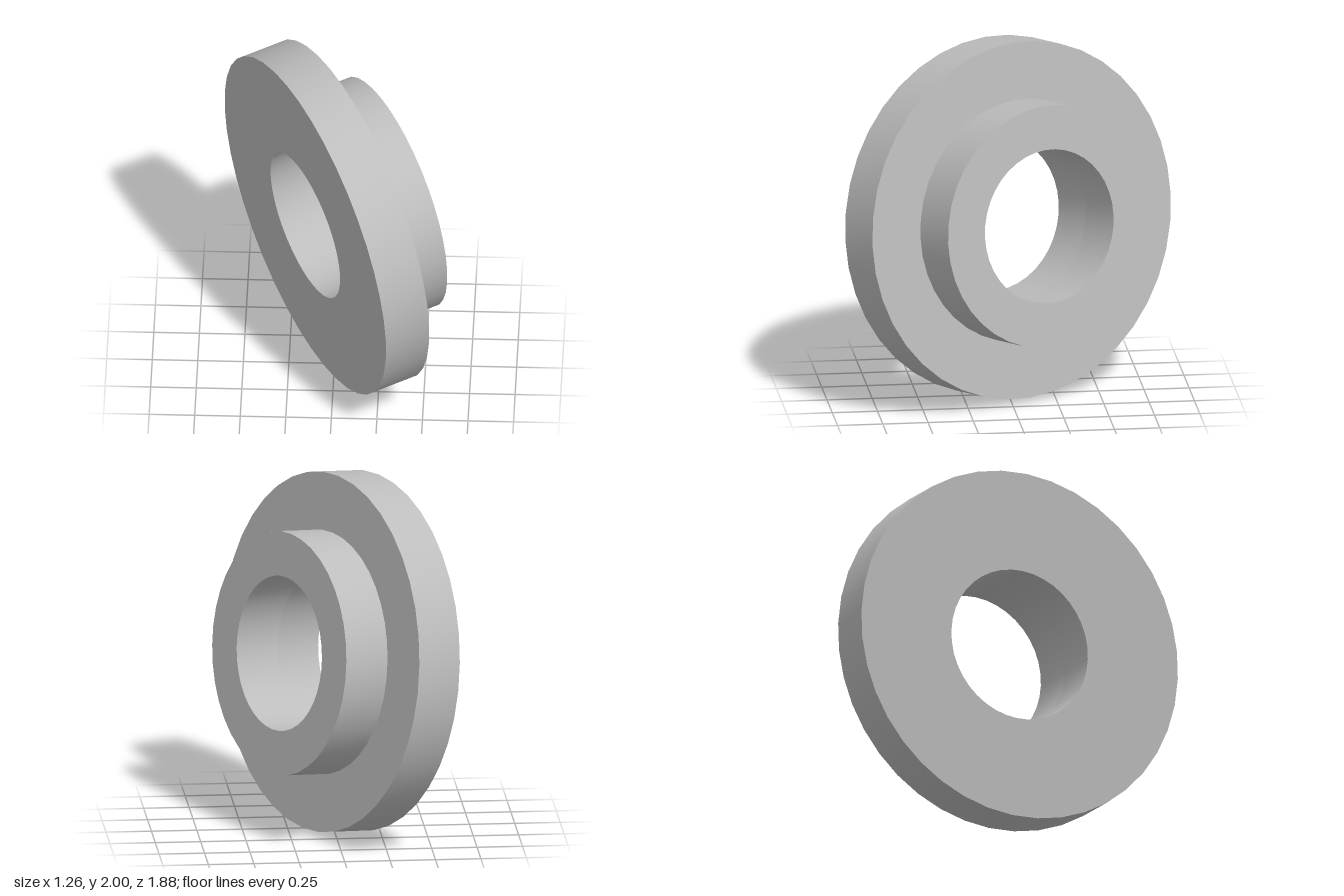
import * as THREE from 'three';
import { toCreasedNormals } from 'three/addons/utils/BufferGeometryUtils.js';

const SIDES = 40;
const BORE = 0.427, HUB_RADIUS = 0.672, FLANGE_RADIUS = 0.991;
const FLANGE_DEPTH = 0.265, TOTAL_DEPTH = 0.535;

// Revolve a profile of [radius, height] pairs, keeping the rims sharp
function revolve(name, profile, material) {
  const points = profile.map(([r, y]) => new THREE.Vector2(r, y));
  const geometry = toCreasedNormals(new THREE.LatheGeometry(points, SIDES), 0.6);
  const mesh = new THREE.Mesh(geometry, material);
  mesh.name = name;
  return mesh;
}

export function createModel() {
  const steel = new THREE.MeshStandardMaterial({ color: 0xbdbdbd });
  steel.name = 'plain grey';

  const model = new THREE.Group();
  model.name = 'flangedBushing';

  // Wide disc with the first half of the bore
  model.add(revolve('flange', [
    [BORE, FLANGE_DEPTH], [BORE, 0], [FLANGE_RADIUS, 0],
    [FLANGE_RADIUS, FLANGE_DEPTH], [HUB_RADIUS, FLANGE_DEPTH],
  ], steel));

  // Narrower collar with the second half of the bore
  model.add(revolve('hub', [
    [HUB_RADIUS, FLANGE_DEPTH], [HUB_RADIUS, TOTAL_DEPTH],
    [BORE, TOTAL_DEPTH], [BORE, FLANGE_DEPTH],
  ], steel));

  // Tilt the shared axis and place the flange face
  const axis = new THREE.Vector3(0.879, 0.108, -0.464).normalize();
  const tilted = new THREE.Group();
  tilted.name = 'tiltedBushing';
  tilted.add(...model.children.slice());
  tilted.quaternion.setFromUnitVectors(new THREE.Vector3(0, 1, 0), axis);
  tilted.position.set(-0.158, 0.985, 0.057);
  model.add(tilted);
  return model;
}
